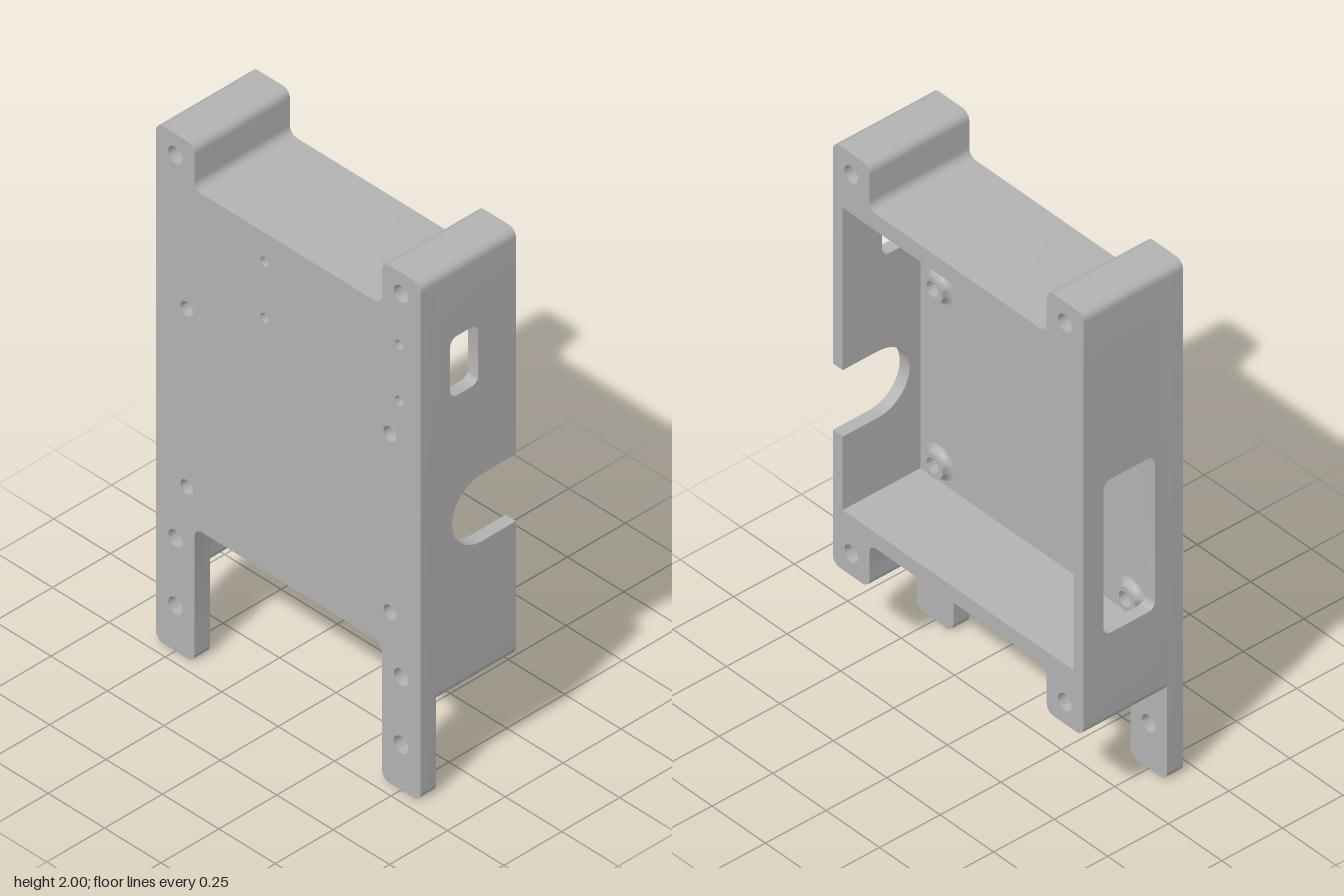
import * as THREE from 'three';
import { toCreasedNormals } from 'three/addons/utils/BufferGeometryUtils.js';

const W = 0.586, E = 0.415;          // outer half width, inner edge of ears
const FRONT = 0.206, BACK = -0.206;  // depth limits
const FLOOR = 0.115, FOOT = 0.14;    // cavity floor, back of feet
const CX = 0.54, CB = 0.583, CT = 1.765; // cavity half width, bottom, top
const R = 0.032;

// Closed outline from [x, y, cornerRadius] points, convex or concave corners
function outline(pts, Type = THREE.Shape) {
  const s = new Type(), n = pts.length;
  pts.forEach(([x, y, r = 0], i) => {
    const toward = ([a, b], d) => {
      const l = Math.hypot(a - x, b - y);
      return [x + (a - x) / l * d, y + (b - y) / l * d];
    };
    const p = pts[(i + n - 1) % n], q = pts[(i + 1) % n];
    const a = toward(p, r);
    if (i) s.lineTo(...a); else s.moveTo(...a);
    if (r) s.bezierCurveTo(...toward(p, r * 0.448), ...toward(q, r * 0.448), ...toward(q, r));
  });
  s.closePath();
  return s;
}

const rect = (x0, y0, x1, y1, r, Type) =>
  outline([[x0, y0, r], [x1, y0, r], [x1, y1, r], [x0, y1, r]], Type);

function drill(shape, list) {
  for (const [x, y, r] of list) {
    shape.holes.push(new THREE.Path().absarc(x, y, r, 0, Math.PI * 2, true));
  }
  return shape;
}

const extrude = (shape, depth) => new THREE.ExtrudeGeometry(shape, {
  depth, bevelEnabled: false, curveSegments: 12,
});

// Mirror a half outline (given from bottom centre to top centre on +x)
const mirrored = half => [...half, ...half.map(([x, y, r]) => [-x, y, r]).reverse()];

export function createModel() {
  const model = new THREE.Group();
  model.name = 'enclosure';
  const grey = new THREE.MeshStandardMaterial({ color: 0xb2b2b2 });
  grey.name = 'grey';

  const add = (name, geo, x = 0, y = 0, z = 0) => {
    const m = new THREE.Mesh(toCreasedNormals(geo, 0.6), grey);
    m.name = name;
    m.position.set(x, y, z);
    model.add(m);
  };
  const slab = (name, shape, z0, z1) => add(name, extrude(shape, z1 - z0), 0, 0, z0);

  // Hole positions
  const pair = (x, y, r) => [[x, y, r], [-x, y, r]];
  const topHoles = pair(0.5, 1.918, 0.032);
  const lowHoles = pair(0.5, 0.435, 0.032);
  const footHoles = pair(0.5, 0.175, 0.032);
  const bossHoles = [...pair(0.45, 1.35, 0.028), ...pair(0.45, 0.66, 0.028)];
  const barXs = [-0.105, 0.492], barYs = [1.5, 1.717];
  const barHoles = barXs.flatMap(x => barYs.map(y => [x, y, 0.018]));
  const plateHoles = [...topHoles, ...lowHoles, ...bossHoles, ...barHoles];

  // Front plate with feet, then the inner layer of the floor
  const plate = bottom => outline(mirrored([
    [E, 0.522, R], [E, bottom, R], [W, bottom, R], [W, 2, R], [E, 2, R], [E, 1.83, R],
  ]));
  slab('frontPlate', drill(plate(0), [...plateHoles, ...footHoles]), FOOT, FRONT);
  slab('cavityFloor', drill(plate(0.35), plateHoles), FLOOR, FOOT);

  // Upper and lower walls with the solid corner ears
  slab('upperWall', drill(outline(mirrored([
    [W, CT], [W, 2, R], [E, 2, R], [E, 1.83, R],
  ])), topHoles), BACK, FLOOR);
  slab('lowerWall', drill(outline(mirrored([
    [E, 0.522, R], [E, 0.35, R], [W, 0.35, R], [W, CB],
  ])), lowHoles), BACK, FLOOR);

  // Side walls, drawn as (-z, y) and extruded along x
  const side = (name, shape, x) =>
    add(name, extrude(shape, W - CX).rotateY(Math.PI / 2), x);

  const left = new THREE.Shape();
  left.moveTo(-FLOOR, CB).lineTo(-BACK, CB).lineTo(-BACK, 0.87).lineTo(0.06, 0.87);
  left.absarc(0.06, 1, 0.13, -Math.PI / 2, Math.PI / 2, true);
  left.lineTo(-BACK, 1.13).lineTo(-BACK, CT).lineTo(-FLOOR, CT).closePath();
  left.holes.push(rect(-0.078, 1.49, 0.043, 1.72, 0.028, THREE.Path));
  side('leftWall', left, CX);

  const right = rect(-FLOOR, CB, -BACK, CT, 0);
  right.holes.push(rect(-0.09, 0.7, 0.122, 1.3, 0.028, THREE.Path));
  side('rightWall', right, -W);

  // Raised mounting bars
  for (const x of barXs) {
    const bar = rect(x - 0.035, 1.463, x + 0.035, 1.754, 0.02);
    slab('mountingBar', drill(bar, barYs.map(y => [x, y, 0.018])), 0.065, FLOOR);
  }

  // Round bosses with a flared foot
  const profile = [[0.066, 0], [0.057, 0.003], [0.051, 0.009], [0.048, 0.018],
    [0.048, 0.03], [0.028, 0.03], [0.028, 0]].map(p => new THREE.Vector2(...p));
  for (const [x, y] of bossHoles) {
    add('boss', new THREE.LatheGeometry(profile, 32).rotateX(-Math.PI / 2), x, y, FLOOR);
  }
  return model;
}
